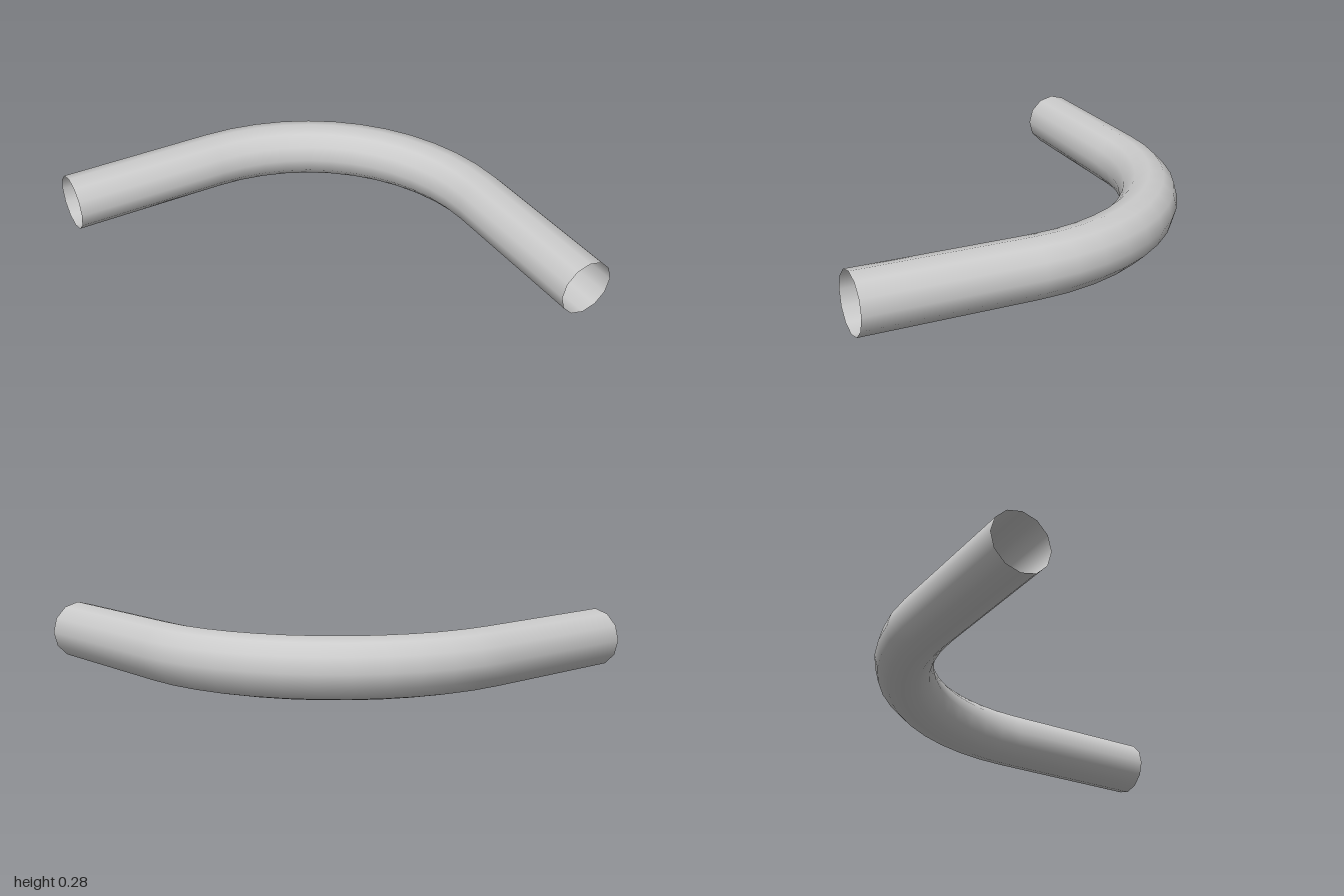
import * as THREE from 'three';

const RADIUS = 0.142, SIDES = 12, BEND_STEPS = 12;
const BEND = { x: -0.19, z: 0.175, r: 1.033 };

// Cross-section stations along the centreline: straight, quarter bend, straight
function stations() {
  const list = [{ x: -0.988, z: BEND.z - BEND.r, a: 0 }];
  for (let i = 0; i <= BEND_STEPS; i++) {
    const a = (i / BEND_STEPS) * Math.PI / 2;
    list.push({ x: BEND.x + BEND.r * Math.sin(a), z: BEND.z - BEND.r * Math.cos(a), a });
  }
  list.push({ x: BEND.x + BEND.r, z: 1, a: Math.PI / 2 });
  return list;
}

// Bends an open cylinder by moving each of its rings to a station
function bentPipe() {
  const path = stations();
  const rows = path.length - 1;
  const geo = new THREE.CylinderGeometry(RADIUS, RADIUS, rows, SIDES, rows, true);
  const pos = geo.attributes.position, nor = geo.attributes.normal;
  for (let i = 0; i < pos.count; i++) {
    const s = path[Math.round(pos.getY(i) + rows / 2)];
    const up = nor.getX(i), out = nor.getZ(i);
    const nx = out * Math.sin(s.a), nz = -out * Math.cos(s.a);
    pos.setXYZ(i, s.x + RADIUS * nx, RADIUS * (1 + up), s.z + RADIUS * nz);
    nor.setXYZ(i, nx, up, nz);
  }
  return geo;
}

export function createModel() {
  const group = new THREE.Group();
  group.name = 'pipeElbow';
  const material = new THREE.MeshStandardMaterial({ color: 0xcccccc, side: THREE.DoubleSide });
  const pipe = new THREE.Mesh(bentPipe(), material);
  pipe.name = 'bentPipe';
  group.add(pipe);
  return group;
}
